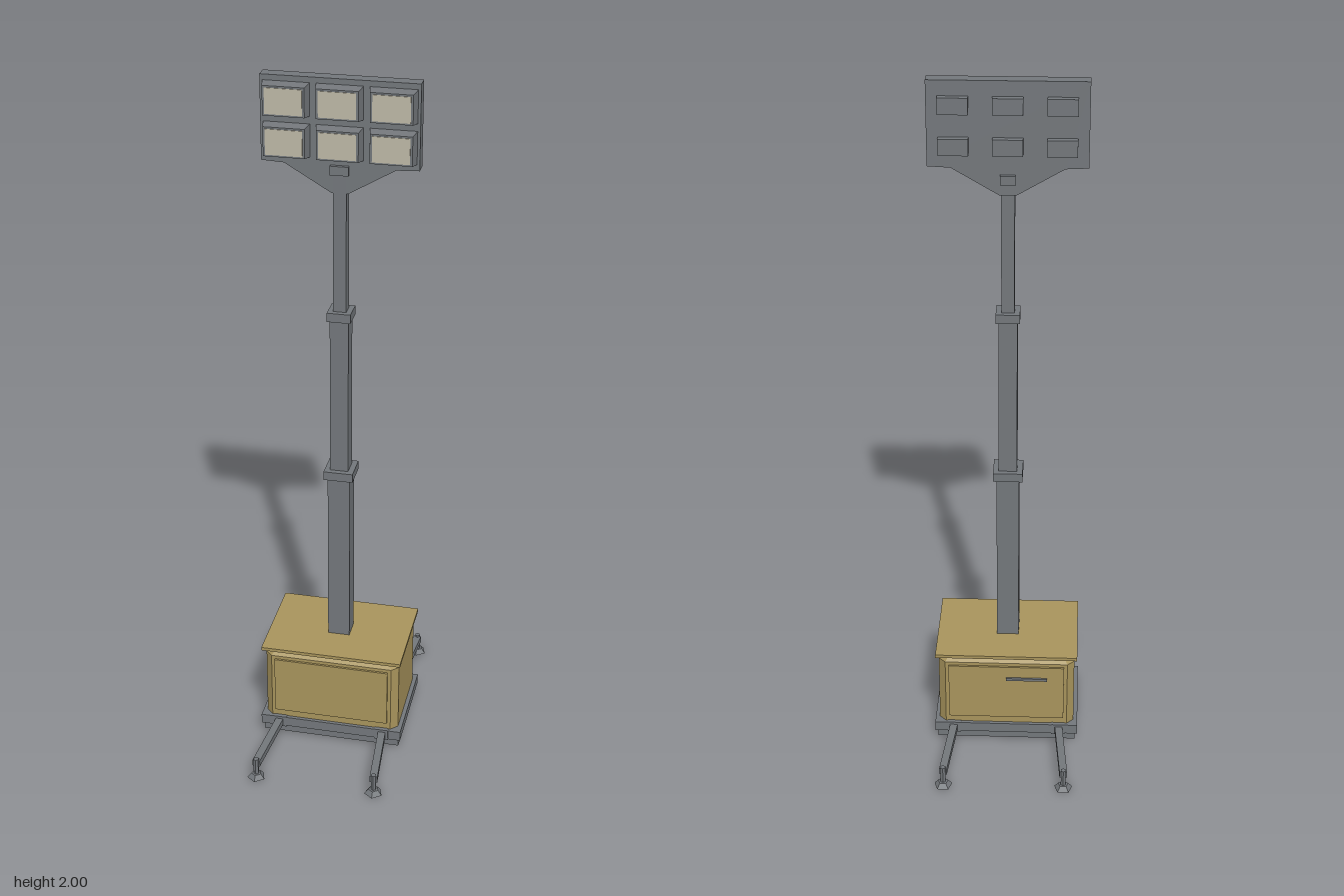
import * as THREE from 'three';
import { ConvexGeometry } from 'three/addons/geometries/ConvexGeometry.js';

export function createModel() {
  const model = new THREE.Group();
  model.name = 'lightTower';
  const mat = (name, color) => {
    const m = new THREE.MeshStandardMaterial({ color, flatShading: true });
    m.name = name;
    return m;
  };
  const ochre = mat('ochre paint', 0xa8945c);
  const steel = mat('grey steel', 0x73777b);
  const glass = mat('lamp glass', 0xbdb8a6);

  const add = (name, geometry, material, x = 0, y = 0, z = 0) => {
    const mesh = new THREE.Mesh(geometry, material);
    mesh.name = name;
    mesh.position.set(x, y, z);
    model.add(mesh);
    return mesh;
  };
  const box = (name, material, w, h, d, x, y, z) =>
    add(name, new THREE.BoxGeometry(w, h, d), material, x, y, z);
  const V = (x, y, z) => new THREE.Vector3(x, y, z);

  // Cabinet with chamfered corners and top edge
  const ring = (y, hx, hz, c) => {
    const pts = [];
    for (const sx of [-1, 1]) for (const sz of [-1, 1])
      pts.push(V(sx * hx, y, sz * (hz - c)), V(sx * (hx - c), y, sz * hz));
    return pts;
  };
  add('cabinet', new ConvexGeometry([
    ...ring(0.055, 0.2, 0.14, 0.02), ...ring(0.275, 0.2, 0.14, 0.02),
    ...ring(0.297, 0.18, 0.12, 0.015)]), ochre);
  for (const s of [-1, 1])
    box('doorPanel', ochre, 0.34, 0.18, 0.008, 0, 0.175, s * 0.142);
  box('doorHandle', steel, 0.12, 0.008, 0.008, -0.06, 0.225, -0.148);
  box('lid', ochre, 0.416, 0.01, 0.3, 0, 0.301, 0);

  // Base frame on two skids
  box('baseFrame', steel, 0.424, 0.03, 0.3, 0, 0.047, 0);
  for (const s of [-1, 1]) {
    box('skid', steel, 0.41, 0.03, 0.035, 0, 0.02, s * 0.122);
    for (const t of [-1, 1])
      box('outriggerSocket', steel, 0.04, 0.034, 0.04, t * 0.155, 0.047, s * 0.132);
  }

  // Four splayed outriggers with jack posts and pads
  for (const sx of [-1, 1]) for (const sz of [-1, 1]) {
    const a = V(sx * 0.152, 0.046, sz * 0.1);
    const b = V(sx * 0.174, 0.048, sz * 0.362);
    const leg = box('outrigger', steel, 0.022, 0.02, a.distanceTo(b), 0, 0, 0);
    leg.position.copy(a).lerp(b, 0.5);
    leg.lookAt(b);
    add('jackPost', new THREE.CylinderGeometry(0.008, 0.008, 0.056, 6), steel, b.x, 0.036, b.z);
    add('footPad', new THREE.CylinderGeometry(0.015, 0.027, 0.014, 5), steel, b.x, 0.007, sz * 0.362);
  }

  // Telescopic mast: [half width, bottom, top]
  for (const [r, y0, y1] of [[0.032, 0.3, 0.84], [0.026, 0.84, 1.33], [0.018, 1.33, 1.76]])
    box('mastSection', steel, r * 2, y1 - y0, r * 2, 0, (y0 + y1) / 2, 0);
  box('mastCollar', steel, 0.084, 0.026, 0.084, 0, 0.847, 0);
  box('mastCollar', steel, 0.066, 0.026, 0.066, 0, 1.337, 0);

  // Lamp board with a tapering bracket
  const board = new THREE.Shape();
  [[-0.212, 2], [-0.212, 1.768], [-0.15, 1.765], [-0.022, 1.69],
    [0.022, 1.69], [0.15, 1.765], [0.212, 1.768], [0.212, 2]]
    .forEach(([x, y], i) => (i ? board.lineTo(x, y) : board.moveTo(x, y)));
  add('lampBoard', new THREE.ExtrudeGeometry(board, { depth: 0.038, bevelEnabled: false }),
    steel, 0, 0, -0.022);
  box('pivotBlock', steel, 0.05, 0.025, 0.012, 0, 1.755, 0.02);
  box('rearPivotBlock', steel, 0.04, 0.025, 0.014, 0, 1.735, -0.028);

  // Six floodlights: tapered housing, glass and rear box
  for (const x of [-0.142, 0, 0.142]) for (const y of [1.94, 1.83]) {
    const corners = [];
    for (const sx of [-1, 1]) for (const sy of [-1, 1])
      corners.push(V(sx * 0.063, sy * 0.045, 0.014), V(sx * 0.056, sy * 0.04, 0.049));
    add('lampHousing', new ConvexGeometry(corners), steel, x, y, 0);
    box('lampGlass', glass, 0.1, 0.07, 0.004, x, y, 0.049);
    box('lampRearBox', steel, 0.08, 0.045, 0.02, x, y - 0.004, -0.031);
  }

  return model;
}
